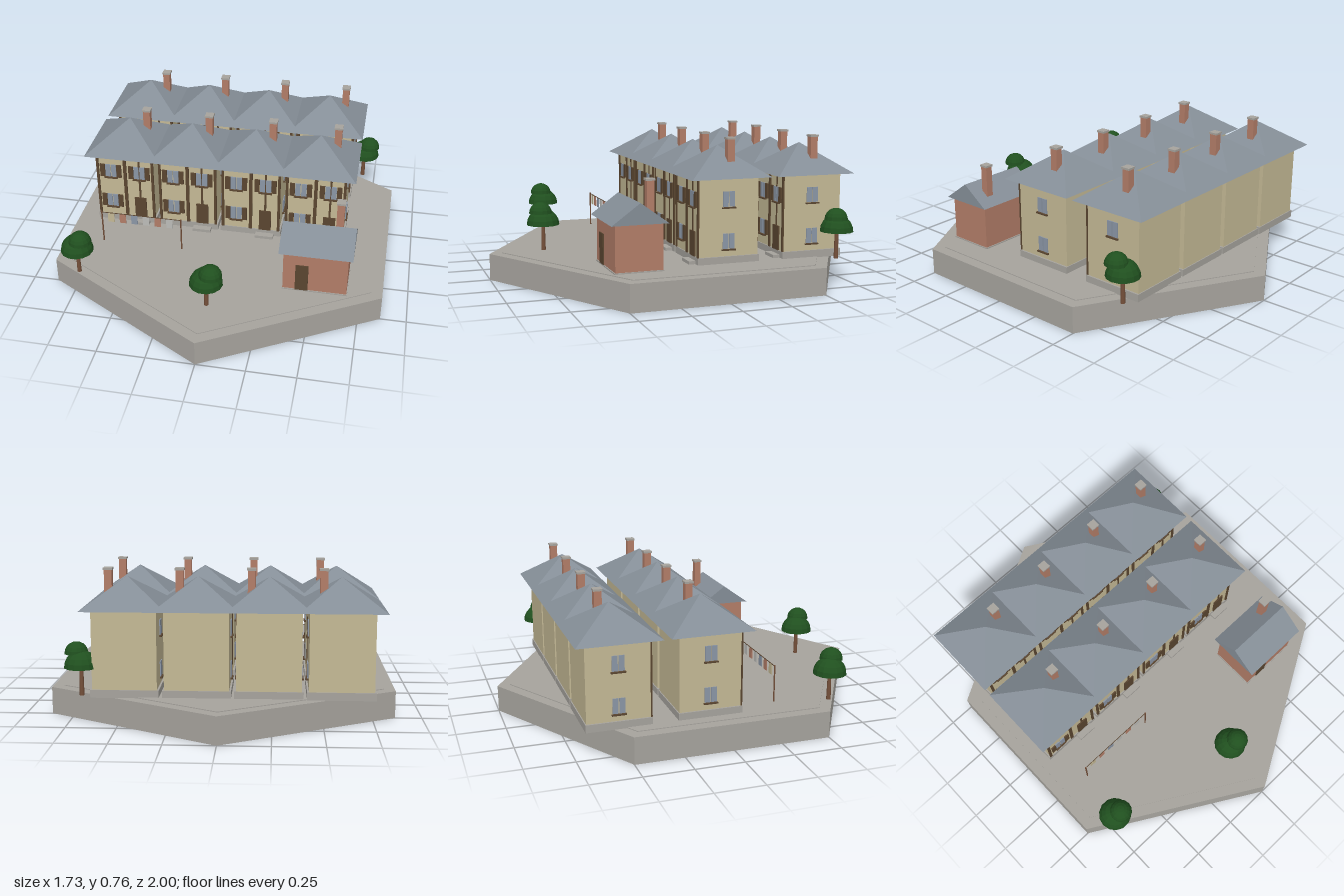
import * as THREE from 'three';

const mat = (name, color, extra = {}) => {
  const m = new THREE.MeshStandardMaterial({ color, ...extra });
  m.name = name;
  return m;
};

export function createModel() {
  const stone = mat('stone', 0xa6a39d);
  const plaster = mat('plaster', 0xc4b995);
  const slate = mat('slate', 0x858e97, { flatShading: true });
  const brick = mat('brick', 0xb27d68);
  const timber = mat('timber', 0x5a4530);
  const glass = mat('glass', 0x8b96a6);
  const bark = mat('bark', 0x75503a);
  const leaf = mat('leaf', 0x20501f, { flatShading: true, side: THREE.DoubleSide });
  const linen = mat('linen', 0xbcbcb8);

  const model = new THREE.Group();
  model.name = 'terraceNeighbourhood';

  const add = (parent, name, geo, material, x, y, z) => {
    const m = new THREE.Mesh(geo, material);
    m.name = name;
    m.position.set(x, y, z);
    parent.add(m);
    return m;
  };
  // box given by centre x/z and bottom/top y
  const box = (parent, name, material, x, y0, y1, z, w, d) =>
    add(parent, name, new THREE.BoxGeometry(w, y1 - y0, d), material, x, (y0 + y1) / 2, z);
  const group = (name, x = 0, y = 0, z = 0) => {
    const g = new THREE.Group();
    g.name = name;
    g.position.set(x, y, z);
    model.add(g);
    return g;
  };
  const chimney = (parent, x, z, y0, y1) => {
    box(parent, 'chimney', brick, x, y0, y1 - 0.01, z, 0.038, 0.038);
    box(parent, 'chimneyCap', stone, x, y1 - 0.01, y1, z, 0.046, 0.046);
  };

  // Hexagonal ground slab with a slightly raised paving plate
  const hex = (r, h) => {
    const g = new THREE.CylinderGeometry(r, r, h, 6).toNonIndexed();
    g.computeVertexNormals();
    return g;
  };
  add(model, 'groundSlab', hex(1, 0.138), stone, 0, 0.069, 0);
  add(model, 'paving', hex(0.935, 0.004), stone, 0, 0.14, 0);

  // Two-pane window facing +z, optionally with shutters
  const windowUnit = (shutters) => {
    const w = new THREE.Group();
    w.name = 'window';
    for (const s of [-1, 1]) {
      box(w, 'windowPane', glass, s * 0.0165, 0, 0.076, 0.002, 0.028, 0.006);
      if (shutters) box(w, 'shutter', timber, s * 0.046, -0.001, 0.077, 0.004, 0.027, 0.008);
    }
    box(w, 'windowSill', timber, 0, -0.009, -0.002, 0.005, 0.072, 0.014);
    return w;
  };

  const HALF = 0.158;
  const buildHouse = (x, z) => {
    const h = group('house', x, 0, z);
    box(h, 'foundation', stone, 0, 0.138, 0.177, 0, 0.334, 0.326);
    box(h, 'walls', plaster, 0, 0.177, 0.568, 0, 2 * HALF, 2 * HALF);

    // Hipped roof
    const roof = add(h, 'roof', new THREE.ConeGeometry(0.21 * Math.SQRT2, 0.148, 4),
      slate, 0, 0.567 + 0.074, 0);
    roof.rotation.y = Math.PI / 4;
    chimney(h, 0.088, -0.033, 0.62, 0.76);

    // Timber framing on the front
    for (const [px, w] of [[-0.154, 0.014], [0, 0.018], [0.154, 0.014]])
      box(h, 'timberPost', timber, px, 0.177, 0.567, HALF + 0.002, w, 0.008);
    box(h, 'timberPost', timber, 0.08, 0.3, 0.567, HALF, 0.011, 0.006);
    box(h, 'timberBeam', timber, 0, 0.557, 0.567, HALF + 0.001, 0.318, 0.007);

    // Front windows, door and step
    for (const [wx, wy] of [[-0.08, 0.425], [0.08, 0.425], [-0.08, 0.232]]) {
      const w = windowUnit(true);
      w.position.set(wx, wy, HALF + 0.001);
      h.add(w);
    }
    box(h, 'door', timber, 0.08, 0.177, 0.302, HALF + 0.003, 0.066, 0.008);
    box(h, 'doorStep', stone, 0.08, 0.14, 0.158, HALF + 0.015, 0.1, 0.05);

    // Side windows
    for (const s of [-1, 1]) for (const wy of [0.425, 0.215]) {
      const w = windowUnit(false);
      w.position.set(s * HALF, wy, 0);
      w.rotation.y = s * Math.PI / 2;
      h.add(w);
    }
  };
  for (const z of [-0.082, -0.538])
    for (let i = 0; i < 4; i++) buildHouse(-0.585 + i * 0.35, z);

  // Brick outbuilding with a gable roof
  const shed = group('outbuilding', 0.52, 0, 0.398);
  box(shed, 'shedFooting', stone, 0, 0.138, 0.148, 0, 0.336, 0.248);
  box(shed, 'shedWalls', brick, 0, 0.148, 0.376, 0, 0.328, 0.238);
  const gable = new THREE.Shape([
    new THREE.Vector2(-0.143, 0), new THREE.Vector2(0.143, 0), new THREE.Vector2(0, 0.104)]);
  const shedRoof = add(shed, 'shedRoof',
    new THREE.ExtrudeGeometry(gable, { depth: 0.374, bevelEnabled: false }), slate, -0.187, 0.376, 0);
  shedRoof.rotation.y = Math.PI / 2;
  box(shed, 'shedDoor', timber, -0.067, 0.148, 0.302, 0.121, 0.066, 0.008);
  chimney(shed, 0.098, -0.072, 0.39, 0.583);

  // Trees with two stacked domes
  for (const [x, z] of [[-0.713, 0.567], [0, 0.715], [0.682, -0.65]]) {
    const t = group('tree', x, 0, z);
    add(t, 'trunk', new THREE.CylinderGeometry(0.009, 0.012, 0.17, 8), bark, 0, 0.223, 0);
    const dome = (r) => new THREE.SphereGeometry(r, 14, 5, 0, Math.PI * 2, 0, Math.PI / 2);
    add(t, 'lowerCanopy', dome(0.085), leaf, 0, 0.278, 0);
    add(t, 'upperCanopy', dome(0.059), leaf, 0.026, 0.343, 0.018);
  }

  // Washing line
  const line = group('washingLine', -0.445, 0, 0.287);
  for (const s of [-1, 1])
    add(line, 'linePost', new THREE.CylinderGeometry(0.004, 0.004, 0.195, 6), bark, s * 0.218, 0.237, 0);
  box(line, 'lineCord', timber, 0, 0.327, 0.33, 0, 0.436, 0.003);
  [plaster, brick, glass, linen, brick, linen].forEach((m, i) =>
    box(line, 'laundry', m, -0.167 + i * 0.0645, 0.272, 0.327, 0, 0.035, 0.004));

  return model;
}
